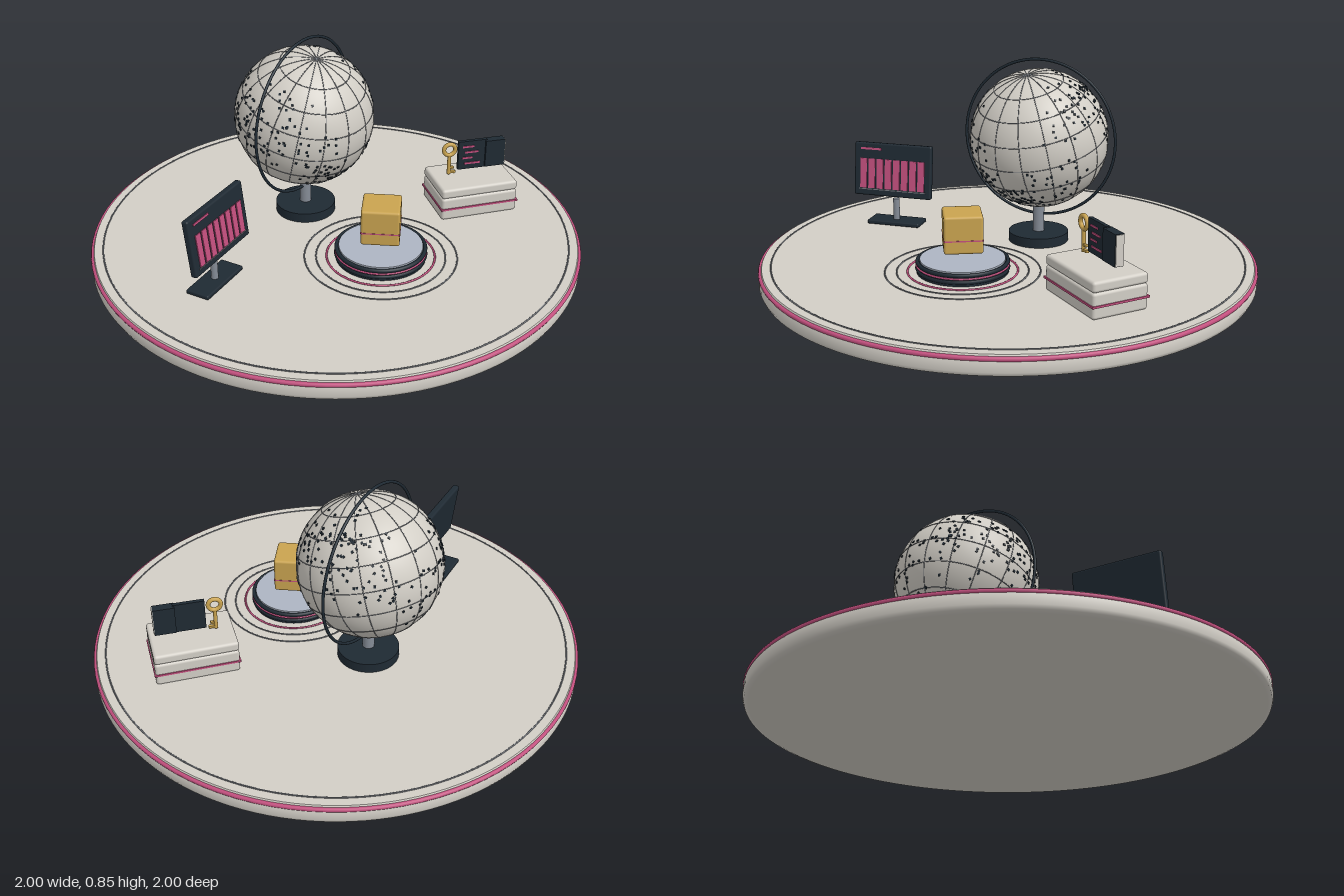
import * as THREE from 'three';
import { mergeGeometries } from 'three/addons/utils/BufferGeometryUtils.js';
import { RoundedBoxGeometry } from 'three/addons/geometries/RoundedBoxGeometry.js';

const mat = (name, color) => Object.assign(new THREE.MeshStandardMaterial({ color }), { name });

export function createModel() {
  const model = new THREE.Group();
  model.name = 'deskDisplay';
  const cream = mat('cream', 0xd2cec6), dark = mat('darkSlate', 0x1f2a33), pink = mat('pink', 0xc4507f);
  const gold = mat('gold', 0xcaa450), silver = mat('silver', 0xadb5c2), steel = mat('steel', 0x858c96);
  const line = mat('lineGrey', 0x72767c);

  const add = (parent, name, geo, material, x = 0, y = 0, z = 0) => {
    const m = new THREE.Mesh(geo, material);
    m.name = name;
    m.position.set(x, y, z);
    parent.add(m);
    return m;
  };
  const group = (parent, name, x, y, z, ry = 0) => {
    const g = new THREE.Group();
    g.name = name;
    g.position.set(x, y, z);
    g.rotation.y = ry;
    parent.add(g);
    return g;
  };
  const ring = (parent, name, r, tube, material, x, y, z) => {
    const m = add(parent, name, new THREE.TorusGeometry(r, tube, 8, 96), material, x, y, z);
    m.rotation.x = Math.PI / 2;
    return m;
  };
  const box = (w, h, d) => new THREE.BoxGeometry(w, h, d);
  const disc = (r, h, n = 64) => new THREE.CylinderGeometry(r, r, h, n);

  // Round platform with a bevelled rim
  const section = [[0, 0], [0.975, 0], [0.992, 0.006], [0.998, 0.02], [0.998, 0.055], [0.985, 0.08]];
  const profile = section.map(p => new THREE.Vector2(...p));
  add(model, 'platform', new THREE.LatheGeometry(profile, 128), cream);
  add(model, 'platformTop', disc(0.985, 0.01, 128), cream, 0, 0.075, 0);
  ring(model, 'platformTrim', 0.991, 0.009, pink, 0, 0.066, 0);
  ring(model, 'platformInlay', 0.95, 0.003, line, 0, 0.081, 0);

  // Pedestal, floor rings and floating cube
  const pedestal = group(model, 'pedestal', 0, 0, 0.28);
  add(pedestal, 'pedestalBase', disc(0.18, 0.045), dark, 0, 0.1025, 0);
  ring(pedestal, 'pedestalLowerRim', 0.176, 0.009, dark, 0, 0.096, 0);
  ring(pedestal, 'pedestalStripe', 0.18, 0.004, pink, 0, 0.11, 0);
  ring(pedestal, 'pedestalUpperRim', 0.176, 0.008, dark, 0, 0.122, 0);
  add(pedestal, 'pedestalPlate', disc(0.167, 0.02), silver, 0, 0.122, 0);
  ring(pedestal, 'floorRingInner', 0.215, 0.004, pink, 0, 0.082, 0);
  ring(pedestal, 'floorRingMiddle', 0.257, 0.003, line, 0, 0.081, 0);
  ring(pedestal, 'floorRingOuter', 0.303, 0.003, line, 0, 0.081, 0);
  const cube = group(pedestal, 'cube', 0, 0.245, 0, Math.PI / 4);
  add(cube, 'cubeBody', new RoundedBoxGeometry(0.152, 0.15, 0.152, 3, 0.01), gold);
  add(cube, 'cubeBand', box(0.154, 0.005, 0.154), pink, 0, -0.022, 0);

  // Globe stand
  const globe = group(model, 'globe', 0, 0, -0.205);
  add(globe, 'globeBase', disc(0.125, 0.04), dark, 0, 0.1, 0);
  add(globe, 'globeStem', disc(0.024, 0.14, 24), steel, 0, 0.18, 0);
  const meridian = add(globe, 'meridianRing', new THREE.TorusGeometry(0.326, 0.006, 10, 96), dark, 0, 0.52, 0);
  meridian.rotation.y = 0.3;

  // Tilted sphere with graticule
  const R = 0.285;
  const ball = group(globe, 'ball', 0, 0.52, 0);
  ball.rotation.x = 0.3;
  add(ball, 'sphere', new THREE.SphereGeometry(R, 64, 48), cream);
  for (let d = -60; d <= 60; d += 20) {
    const a = d * Math.PI / 180;
    ring(ball, 'latitudeLine', R * Math.cos(a), 0.0018, line, 0, R * Math.sin(a), 0);
  }
  for (let i = 0; i < 8; i++) {
    const m = add(ball, 'longitudeLine', new THREE.TorusGeometry(R, 0.0018, 6, 80), line);
    m.rotation.y = i * Math.PI / 8;
  }

  // Scattered land markers, gathered in clusters
  let seed = 7;
  const rand = () => (seed = (seed * 16807) % 2147483647) / 2147483647;
  const dots = [];
  const up = new THREE.Vector3(0, 0, 1);
  for (let c = 0; c < 16; c++) {
    const lon = c * 2.4, lat = -0.5 + 1.3 * rand();
    for (let i = 0; i < 24; i++) {
      const la = lat + (rand() + rand() - 1) * 0.5, lo = lon + (rand() + rand() - 1) * 0.65;
      const n = new THREE.Vector3(Math.cos(la) * Math.sin(lo), Math.sin(la), Math.cos(la) * Math.cos(lo));
      const g = box(0.009, 0.009, 0.006);
      g.applyQuaternion(new THREE.Quaternion().setFromUnitVectors(up, n));
      dots.push(g.translate(n.x * R, n.y * R, n.z * R));
    }
  }
  add(ball, 'landMarkers', mergeGeometries(dots), dark);

  // Monitor on a small stand
  const monitor = group(model, 'monitor', -0.61, 0, 0.03, 0.39);
  add(monitor, 'monitorFoot', new RoundedBoxGeometry(0.24, 0.018, 0.1, 2, 0.006), dark, 0, 0.092, -0.01);
  add(monitor, 'monitorPost', disc(0.014, 0.1, 20), steel, 0, 0.145, -0.01);
  const screen = group(monitor, 'screen', 0, 0.328, 0.012);
  screen.rotation.x = -0.12;
  add(screen, 'screenBody', new RoundedBoxGeometry(0.355, 0.232, 0.028, 3, 0.008), dark);
  add(screen, 'screenTitle', box(0.095, 0.009, 0.005), pink, -0.1, 0.09, 0.015);
  add(screen, 'chartBaseline', box(0.31, 0.004, 0.005), line, 0, -0.088, 0.015);
  for (let i = 0; i < 8; i++) {
    add(screen, 'chartBar', box(0.03, 0.13, 0.006), pink, -0.133 + i * 0.038, -0.018, 0.015);
  }

  // Two stacked books
  const books = group(model, 'books', 0.572, 0, 0.205, -0.41);
  add(books, 'lowerBook', new RoundedBoxGeometry(0.335, 0.1, 0.23, 3, 0.012), cream, 0, 0.13, 0);
  add(books, 'bookRibbon', box(0.343, 0.008, 0.238), pink, 0, 0.13, 0);
  add(books, 'upperBook', new RoundedBoxGeometry(0.335, 0.042, 0.23, 3, 0.012), cream, 0, 0.2, 0);

  // Card case hovering over the books
  const caseGroup = group(model, 'cardCase', 0.61, 0.312, 0.215, -0.44);
  add(caseGroup, 'caseFlap', box(0.125, 0.13, 0.016), dark, -0.035, 0, 0);
  add(caseGroup, 'caseBody', box(0.085, 0.12, 0.036), dark, 0.063, 0, 0);
  add(caseGroup, 'caseEnd', box(0.005, 0.115, 0.032), cream, 0.1065, 0, 0);
  [0.05, 0.06, 0.045, 0.07].forEach((w, i) => {
    add(caseGroup, 'caseLine', box(w, 0.008, 0.005), pink, -0.08 + w / 2 + (i % 2) * 0.01, 0.04 - i * 0.026, 0.0085);
  });

  // Key beside the case
  const key = group(model, 'key', 0.485, 0.345, 0.16, -0.44);
  add(key, 'keyBow', new THREE.TorusGeometry(0.025, 0.009, 12, 32), gold);
  add(key, 'keyShaft', disc(0.008, 0.09, 16), gold, 0, -0.068, 0);
  add(key, 'keyTooth', box(0.03, 0.01, 0.012), gold, 0.014, -0.105, 0);
  add(key, 'keyTooth', box(0.022, 0.009, 0.012), gold, 0.01, -0.085, 0);

  return model;
}
